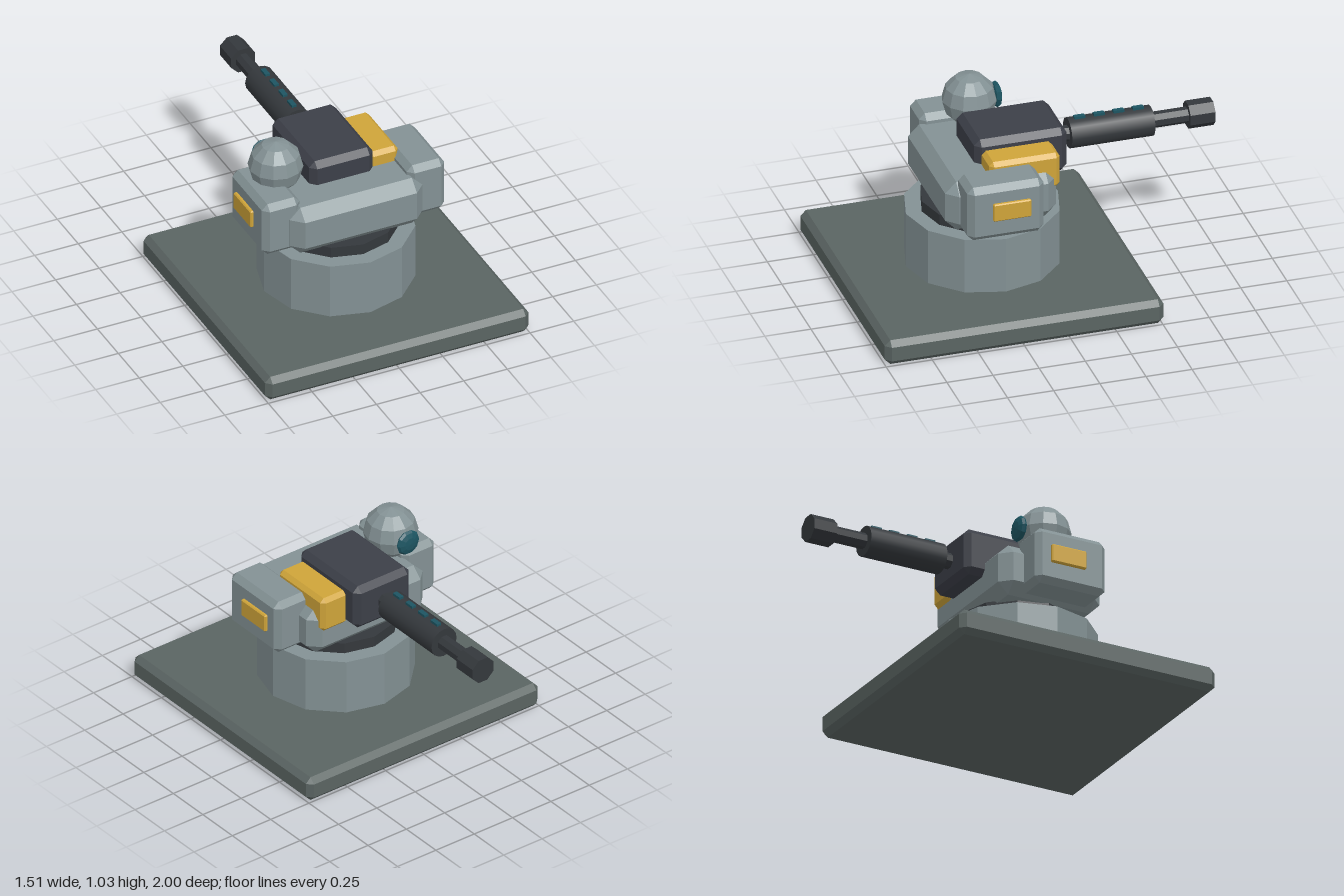
import * as THREE from 'three';
import { ConvexGeometry } from 'three/addons/geometries/ConvexGeometry.js';

function material(name, color) {
  const m = new THREE.MeshStandardMaterial({ color });
  m.name = name;
  return m;
}

// Faceted normals
function faceted(geometry) {
  const g = geometry.index ? geometry.toNonIndexed() : geometry;
  g.computeVertexNormals();
  return g;
}

// Box between two corners, with every edge and corner chamfered by b
function chamferBox([x0, y0, z0], [x1, y1, z1], b) {
  const half = [(x1 - x0) / 2, (y1 - y0) / 2, (z1 - z0) / 2];
  const points = [];
  for (const sx of [-1, 1]) for (const sy of [-1, 1]) for (const sz of [-1, 1]) {
    for (let axis = 0; axis < 3; axis++) {
      const h = half.map((v, i) => (i === axis ? v : v - b));
      points.push(new THREE.Vector3(sx * h[0], sy * h[1], sz * h[2]));
    }
  }
  const g = new ConvexGeometry(points);
  g.translate((x0 + x1) / 2, (y0 + y1) / 2, (z0 + z1) / 2);
  return g;
}

export function createModel() {
  const group = new THREE.Group();
  group.name = 'turret';

  const baseGrey = material('base grey', 0x5a6462);
  const armourGrey = material('armour grey', 0x839194);
  const housingDark = material('housing dark', 0x3c3f48);
  const gunmetal = material('gunmetal', 0x34383c);
  const yellow = material('yellow', 0xcfa439);
  const teal = material('teal', 0x1d5562);

  const add = (name, geometry, mat) => {
    const mesh = new THREE.Mesh(geometry, mat);
    mesh.name = name;
    group.add(mesh);
    return mesh;
  };

  // Base slab, pedestal and turning ring
  const cz = 0.245;
  add('basePlate', chamferBox([-0.755, 0, -0.51], [0.755, 0.14, 1], 0.03), baseGrey);
  const drum = (name, r, y0, y1, mat) => add(name,
    faceted(new THREE.CylinderGeometry(r, r, y1 - y0, 12)).translate(0, (y0 + y1) / 2, cz), mat);
  drum('pedestal', 0.412, 0.135, 0.45, armourGrey);
  drum('turningRing', 0.326, 0.445, 0.51, gunmetal);

  // Turret body
  add('body', chamferBox([-0.38, 0.5, -0.055], [0.38, 0.78, 0.545], 0.06), armourGrey);

  // Side pods with yellow panels
  for (const side of [-1, 1]) {
    const label = side > 0 ? 'left' : 'right';
    const mirrored = (x0, x1, y0, y1, z0, z1, b) => side > 0
      ? chamferBox([x0, y0, z0], [x1, y1, z1], b)
      : chamferBox([-x1, y0, z0], [-x0, y1, z1], b);
    add(label + 'Pod', mirrored(0.307, 0.523, 0.52, 0.83, 0.065, 0.48, 0.032), armourGrey);
    add(label + 'PodPanel', mirrored(0.51, 0.541, 0.635, 0.735, 0.145, 0.35, 0.006), yellow);
  }

  // Gun housing and ammunition box
  add('gunHousing', chamferBox([-0.182, 0.655, -0.165], [0.182, 0.91, 0.335], 0.032), housingDark);
  add('ammoBox', chamferBox([0.165, 0.66, -0.077], [0.335, 0.86, 0.305], 0.022), yellow);

  // Barrel sections along -z
  const gunY = 0.782;
  const tube = (name, r, z0, z1, sides, smooth) => {
    const g = new THREE.CylinderGeometry(r, r, z0 - z1, sides, 1, false, smooth ? 0 : Math.PI / sides);
    g.rotateX(-Math.PI / 2).translate(0, gunY, (z0 + z1) / 2);
    add(name, smooth ? g : faceted(g), gunmetal);
  };
  tube('barrel', 0.043, -0.15, -0.88, 8, false);
  tube('barrelSleeve', 0.082, -0.22, -0.67, 16, true);
  tube('muzzle', 0.074, -0.865, -1, 8, false);

  // Cooling slots on top of the sleeve
  for (let i = 0; i < 4; i++) {
    add('coolingSlot' + (i + 1),
      new THREE.BoxGeometry(0.026, 0.025, 0.058).translate(0, 0.863, -0.282 - i * 0.106), teal);
  }

  // Sensor dome with rear-facing lens
  add('sensorDome', faceted(new THREE.SphereGeometry(0.145, 12, 6)).translate(-0.33, 0.885, 0.21), armourGrey);
  const lens = new THREE.SphereGeometry(0.071, 10, 6).rotateX(Math.PI / 2).scale(1, 1, 0.36);
  add('sensorLens', faceted(lens).translate(-0.33, 0.885, 0.064), teal);

  return group;
}
